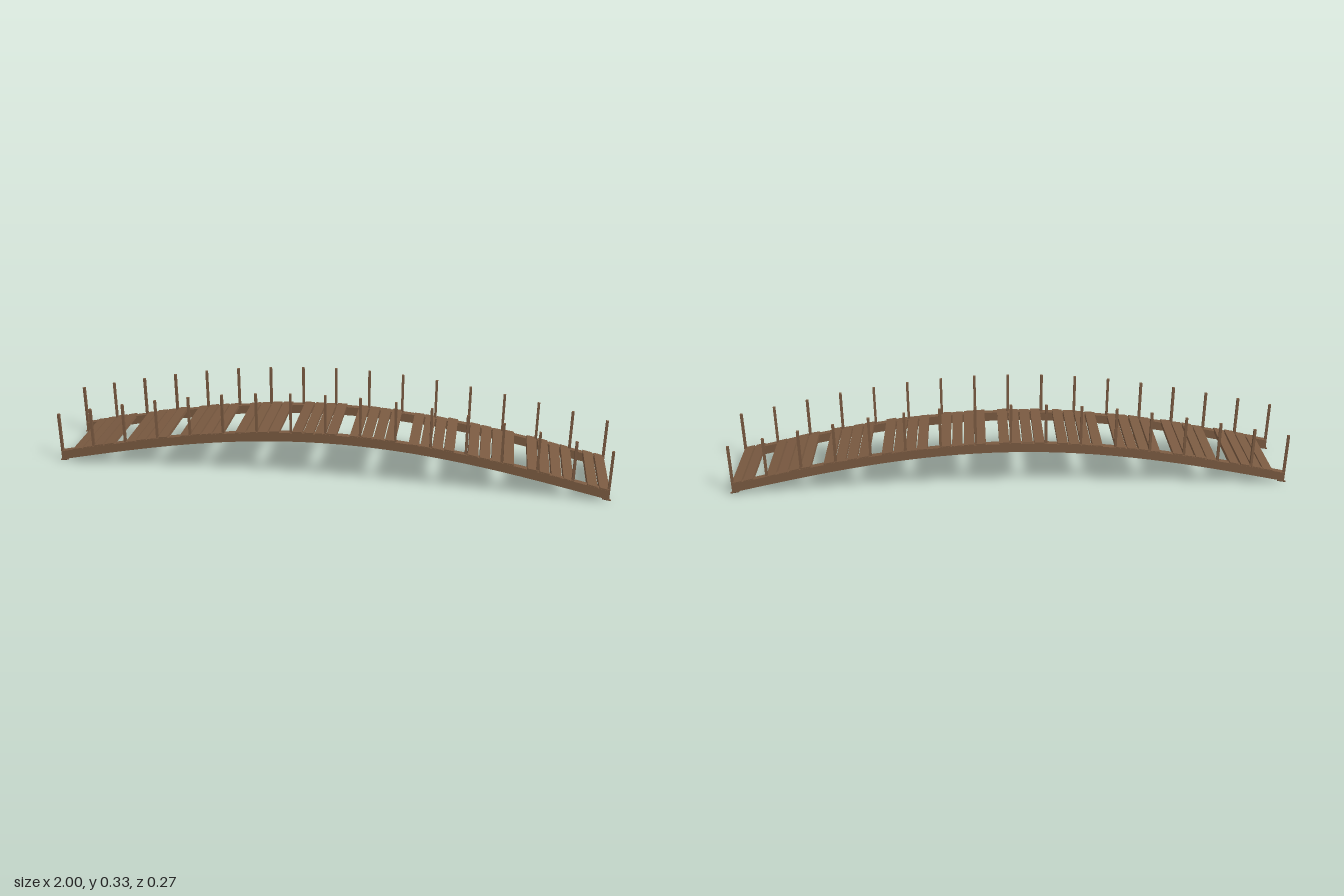
import * as THREE from 'three';

const SPAN = 0.992;
// vertical drop of the arch at x, zero at the crown
const drop = (x) => 0.143 * (1 - Math.cos((x * Math.PI) / 2));
const slope = (x) => Math.atan(-0.143 * (Math.PI / 2) * Math.sin((x * Math.PI) / 2));

let seed = 7;
const jitter = (amount) => {
  seed = (seed * 16807) % 2147483647;
  return (seed / 2147483647 - 0.5) * 2 * amount;
};

export function createModel() {
  const bridge = new THREE.Group();
  bridge.name = 'archedBridge';
  const wood = new THREE.MeshStandardMaterial({ color: 0x7a5a41 });
  wood.name = 'brown wood';

  const add = (name, geometry, x, y, z) => {
    const mesh = new THREE.Mesh(geometry, wood);
    mesh.name = name;
    mesh.position.set(x, y, z);
    bridge.add(mesh);
    return mesh;
  };

  // curved side beams
  const steps = 32;
  const outline = [];
  for (let i = 0; i <= steps; i++) {
    const x = -SPAN + (2 * SPAN * i) / steps;
    outline.push(new THREE.Vector2(x, 0.185 - drop(x)));
  }
  for (let i = steps; i >= 0; i--) {
    const x = -SPAN + (2 * SPAN * i) / steps;
    outline.push(new THREE.Vector2(x, 0.152 - drop(x)));
  }
  const beam = new THREE.ExtrudeGeometry(new THREE.Shape(outline), { depth: 0.021, bevelEnabled: false });
  beam.translate(0, 0, -0.0105);

  const post = new THREE.BoxGeometry(0.009, 0.181, 0.009);
  const tip = new THREE.CylinderGeometry(0.003, 0.004, 0.03, 6);
  tip.rotateZ(-Math.PI / 2);

  for (const side of [-1, 1]) {
    const label = side > 0 ? 'front' : 'back';
    add(label + 'Beam', beam, 0, 0, side * 0.126);

    // upright railing posts passing through the beam
    for (let i = 0; i < 17; i++) {
      const x = -0.99 + i * 0.12375;
      add(label + 'Post', post, x, 0.242 - drop(x), side * 0.127).rotation.y = jitter(0.12);
    }

    // rod ends showing at the foot of each beam
    for (const end of [-1, 1]) {
      const rod = add(label + 'RodEnd', tip, end * 0.986, 0.0075, side * 0.127);
      rod.rotation.set(0, end > 0 ? 0 : Math.PI, -0.21);
    }
  }

  // deck planks, with every fifth one missing
  const pitch = 0.0413;
  const plank = new THREE.BoxGeometry(0.036, 0.011, 0.272);
  for (let i = 0; i < 48; i++) {
    if (i % 5 === 0) continue;
    const x = -0.968 + i * pitch;
    const mesh = add('deckPlank', plank, x, 0.183 - drop(x) + jitter(0.002), 0);
    mesh.rotation.z = slope(x) + jitter(0.04);
  }
  return bridge;
}
